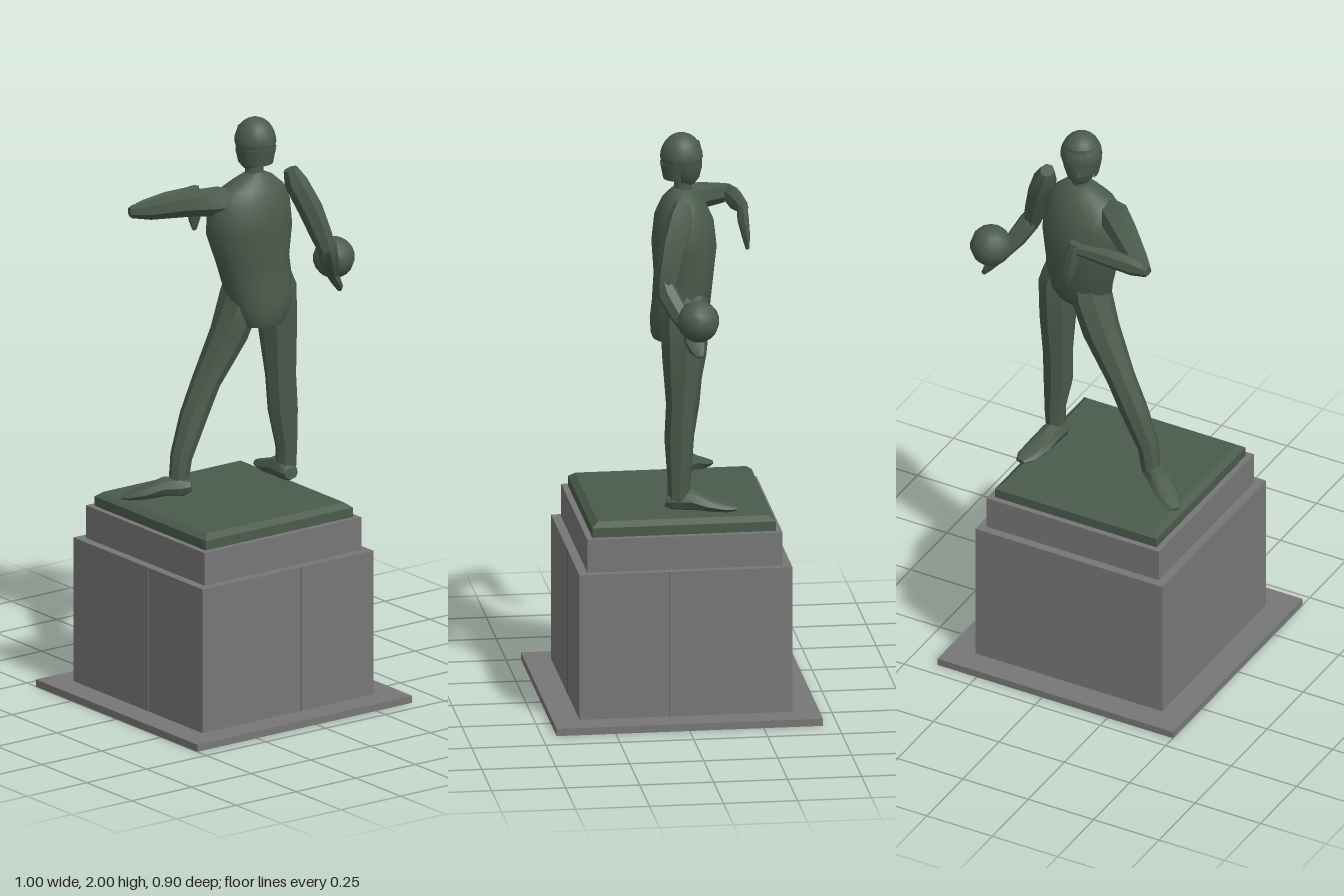
import * as THREE from 'three';
import { toCreasedNormals } from 'three/addons/utils/BufferGeometryUtils.js';

const stone = new THREE.MeshStandardMaterial({ color: 0x777777 });
stone.name = 'grey stone';
const bronze = new THREE.MeshStandardMaterial({ color: 0x4a5b4c });
bronze.name = 'green bronze';

function add(group, name, geometry, material, x = 0, y = 0, z = 0) {
  const mesh = new THREE.Mesh(geometry, material);
  mesh.name = name;
  mesh.position.set(x, y, z);
  group.add(mesh);
  return mesh;
}

// Block given by its extents along x, y and z
function block(group, name, material, [x0, x1], [y0, y1], [z0, z1]) {
  return add(group, name, new THREE.BoxGeometry(x1 - x0, y1 - y0, z1 - z0), material,
    (x0 + x1) / 2, (y0 + y1) / 2, (z0 + z1) / 2);
}

// Skin over elliptical sections [x, y, z, radiusU, radiusV], square to the line from first to last.
// Upright lofts have U along x (turned by yaw); flat ones have U along y.
function loft(sections, sides, crease = 0.6, yaw = 0) {
  const centres = sections.map((s) => new THREE.Vector3(s[0], s[1], s[2]));
  const n = centres[centres.length - 1].clone().sub(centres[0]).normalize();
  const u = Math.abs(n.y) > 0.6
    ? new THREE.Vector3(Math.cos(yaw), 0, -Math.sin(yaw))
    : new THREE.Vector3(0, 1, 0);
  u.addScaledVector(n, -u.dot(n)).normalize();
  const v = new THREE.Vector3().crossVectors(n, u);
  const pos = [];
  const index = [];
  sections.forEach(([, , , ru, rv], i) => {
    for (let j = 0; j < sides; j++) {
      const a = (j / sides) * Math.PI * 2;
      const p = centres[i].clone().addScaledVector(u, ru * Math.cos(a)).addScaledVector(v, rv * Math.sin(a));
      pos.push(p.x, p.y, p.z);
    }
  });
  const last = (sections.length - 1) * sides;
  const capA = pos.length / 3;
  [centres[0], centres[centres.length - 1]].forEach((c) => pos.push(c.x, c.y, c.z));
  for (let j = 0; j < sides; j++) {
    const k = (j + 1) % sides;
    for (let b = 0; b < last; b += sides) {
      index.push(b + j, b + k, b + sides + k, b + j, b + sides + k, b + sides + j);
    }
    index.push(capA, k, j, capA + 1, last + j, last + k);
  }
  const g = new THREE.BufferGeometry();
  g.setAttribute('position', new THREE.Float32BufferAttribute(pos, 3));
  g.setIndex(index);
  return toCreasedNormals(g, crease);
}

function buildPedestal() {
  const g = new THREE.Group();
  g.name = 'pedestal';
  block(g, 'baseSlab', stone, [-0.5, 0.4], [0, 0.025], [-0.45, 0.45]);
  block(g, 'pedestalBlock', stone, [-0.41, 0.305], [0.025, 0.53], [-0.36, 0.36]);
  block(g, 'pedestalStep', stone, [-0.38, 0.278], [0.53, 0.645], [-0.33, 0.33]);
  // Narrow joints in the faces of the block
  block(g, 'frontJoint', bronze, [-0.001, 0.003], [0.025, 0.53], [0.359, 0.361]);
  for (const x of [-0.41, 0.305]) {
    block(g, 'sideJoint', stone, [x - 0.001, x + 0.001], [0.025, 0.53], [0.053, 0.057]);
  }
  // Plinth with a bevelled top
  block(g, 'plinth', bronze, [-0.36, 0.257], [0.645, 0.678], [-0.31, 0.31]);
  const bevel = new THREE.CylinderGeometry(0.93 * Math.SQRT1_2, Math.SQRT1_2, 0.017, 4);
  bevel.rotateY(Math.PI / 4);
  bevel.scale(0.617, 1, 0.62);
  add(g, 'plinthBevel', toCreasedNormals(bevel, 0.2), bronze, -0.0515, 0.6865, 0);
  return g;
}

function buildHead() {
  const g = new THREE.Group();
  g.name = 'head';
  add(g, 'neck', loft([
    [0.09, 1.76, -0.015, 0.042, 0.042], [0.09, 1.81, -0.018, 0.03, 0.03], [0.092, 1.86, -0.018, 0.034, 0.034],
  ], 10), bronze);
  add(g, 'face', loft([
    [0.086, 1.822, -0.03, 0.028, 0.03], [0.086, 1.84, -0.03, 0.044, 0.044],
    [0.088, 1.875, -0.026, 0.056, 0.056], [0.09, 1.92, -0.02, 0.062, 0.062],
    [0.09, 1.96, -0.016, 0.058, 0.06],
  ], 14, 0.8), bronze);
  const nose = new THREE.ConeGeometry(0.011, 0.034, 4);
  add(g, 'nose', nose, bronze, 0.066, 1.886, -0.08).rotation.set(-0.25, 0.4, 0);
  // Hair: a dome above and a lower shell around the back
  const dome = new THREE.SphereGeometry(0.07, 18, 7, 0, Math.PI * 2, 0, Math.PI / 2);
  dome.scale(1, 1.2, 1.03);
  add(g, 'hairDome', dome, bronze, 0.091, 1.916, -0.013);
  add(g, 'hairRim', new THREE.CylinderGeometry(0.0705, 0.066, 0.022, 18), bronze, 0.091, 1.907, -0.012);
  const back = new THREE.CylinderGeometry(0.068, 0.057, 0.056, 14, 1, false, -1.9, Math.PI * 1.08);
  add(g, 'hairBack', back, bronze, 0.091, 1.872, -0.008);
  return g;
}

export function createModel() {
  const model = new THREE.Group();
  model.name = 'statue';
  model.add(buildPedestal(), buildHead());

  const figure = new THREE.Group();
  figure.name = 'figure';
  model.add(figure);
  const part = (name, sides, sections, crease, yaw) => add(figure, name, loft(sections, sides, crease, yaw), bronze);

  // Torso with the rounded hem of the shirt
  part('torso', 20, [
    [0.09, 1.285, 0.035, 0.066, 0.05], [0.092, 1.3, 0.033, 0.078, 0.058], [0.1, 1.35, 0.01, 0.108, 0.085],
    [0.1, 1.41, -0.01, 0.122, 0.098], [0.085, 1.5, -0.02, 0.13, 0.1], [0.073, 1.61, -0.024, 0.155, 0.11],
    [0.07, 1.7, -0.024, 0.15, 0.1], [0.075, 1.755, -0.022, 0.122, 0.075],
    [0.088, 1.79, -0.02, 0.07, 0.05], [0.09, 1.808, -0.018, 0.032, 0.032],
  ], 0.7, -0.12);

  // Standing leg
  part('leftLeg', 8, [
    [0.2, 0.75, 0.012, 0.034, 0.036], [0.203, 0.83, 0.01, 0.035, 0.04], [0.19, 0.96, 0.008, 0.052, 0.05],
    [0.187, 1.08, 0, 0.053, 0.052], [0.181, 1.25, -0.01, 0.06, 0.075], [0.178, 1.4, -0.015, 0.06, 0.085],
    [0.165, 1.46, -0.015, 0.05, 0.07],
  ]);
  part('leftFoot', 8, [
    [0.19, 0.745, 0.055, 0.02, 0.025], [0.193, 0.75, 0.03, 0.036, 0.036], [0.2, 0.75, -0.03, 0.038, 0.038],
    [0.212, 0.735, -0.09, 0.025, 0.044], [0.225, 0.725, -0.15, 0.016, 0.036], [0.231, 0.722, -0.182, 0.008, 0.018],
  ]);

  // Leg stretched out to the side
  part('rightLeg', 8, [
    [-0.2, 0.76, -0.055, 0.034, 0.034], [-0.188, 0.85, -0.055, 0.038, 0.038],
    [-0.135, 0.98, -0.058, 0.048, 0.046], [-0.085, 1.09, -0.056, 0.048, 0.05],
    [0.0, 1.25, -0.04, 0.062, 0.068], [0.045, 1.38, -0.03, 0.062, 0.085], [0.06, 1.44, -0.03, 0.055, 0.07],
  ]);
  part('rightFoot', 8, [
    [-0.172, 0.755, -0.02, 0.02, 0.024], [-0.195, 0.752, -0.042, 0.037, 0.036],
    [-0.24, 0.748, -0.08, 0.034, 0.038], [-0.29, 0.729, -0.115, 0.024, 0.042],
    [-0.335, 0.716, -0.15, 0.014, 0.032], [-0.355, 0.712, -0.167, 0.007, 0.015],
  ]);

  // Arm folded in front of the chest
  part('rightUpperArm', 7, [
    [-0.01, 1.725, -0.01, 0.042, 0.04], [-0.045, 1.725, -0.035, 0.052, 0.055],
    [-0.12, 1.715, -0.1, 0.045, 0.05], [-0.22, 1.69, -0.185, 0.034, 0.038], [-0.272, 1.683, -0.222, 0.022, 0.02],
  ]);
  part('rightForearm', 7, [
    [-0.275, 1.682, -0.222, 0.02, 0.014], [-0.22, 1.685, -0.218, 0.033, 0.03],
    [-0.13, 1.692, -0.222, 0.034, 0.03], [-0.02, 1.698, -0.235, 0.022, 0.02],
  ]);
  part('rightHand', 7, [
    [0.012, 1.56, -0.247, 0.008, 0.006], [0.01, 1.6, -0.243, 0.024, 0.014],
    [0.003, 1.66, -0.234, 0.029, 0.02], [-0.005, 1.715, -0.23, 0.022, 0.018],
  ]);

  // Lowered arm holding the ball
  part('leftUpperArm', 7, [
    [0.325, 1.51, 0.075, 0.028, 0.028], [0.312, 1.56, 0.064, 0.037, 0.038], [0.28, 1.66, 0.04, 0.042, 0.045],
    [0.243, 1.75, 0.01, 0.04, 0.044], [0.228, 1.795, 0, 0.024, 0.028],
  ]);
  part('leftForearm', 7, [
    [0.405, 1.392, -0.002, 0.022, 0.024], [0.365, 1.455, 0.035, 0.033, 0.035],
    [0.335, 1.51, 0.065, 0.036, 0.036], [0.318, 1.55, 0.075, 0.024, 0.025],
  ]);
  part('leftHand', 7, [
    [0.455, 1.322, -0.03, 0.008, 0.012], [0.44, 1.345, -0.022, 0.014, 0.03],
    [0.418, 1.375, -0.01, 0.018, 0.034], [0.398, 1.405, 0.002, 0.02, 0.022],
  ]);
  add(figure, 'ball', new THREE.SphereGeometry(0.071, 12, 9), bronze, 0.429, 1.44, -0.025);

  return model;
}
